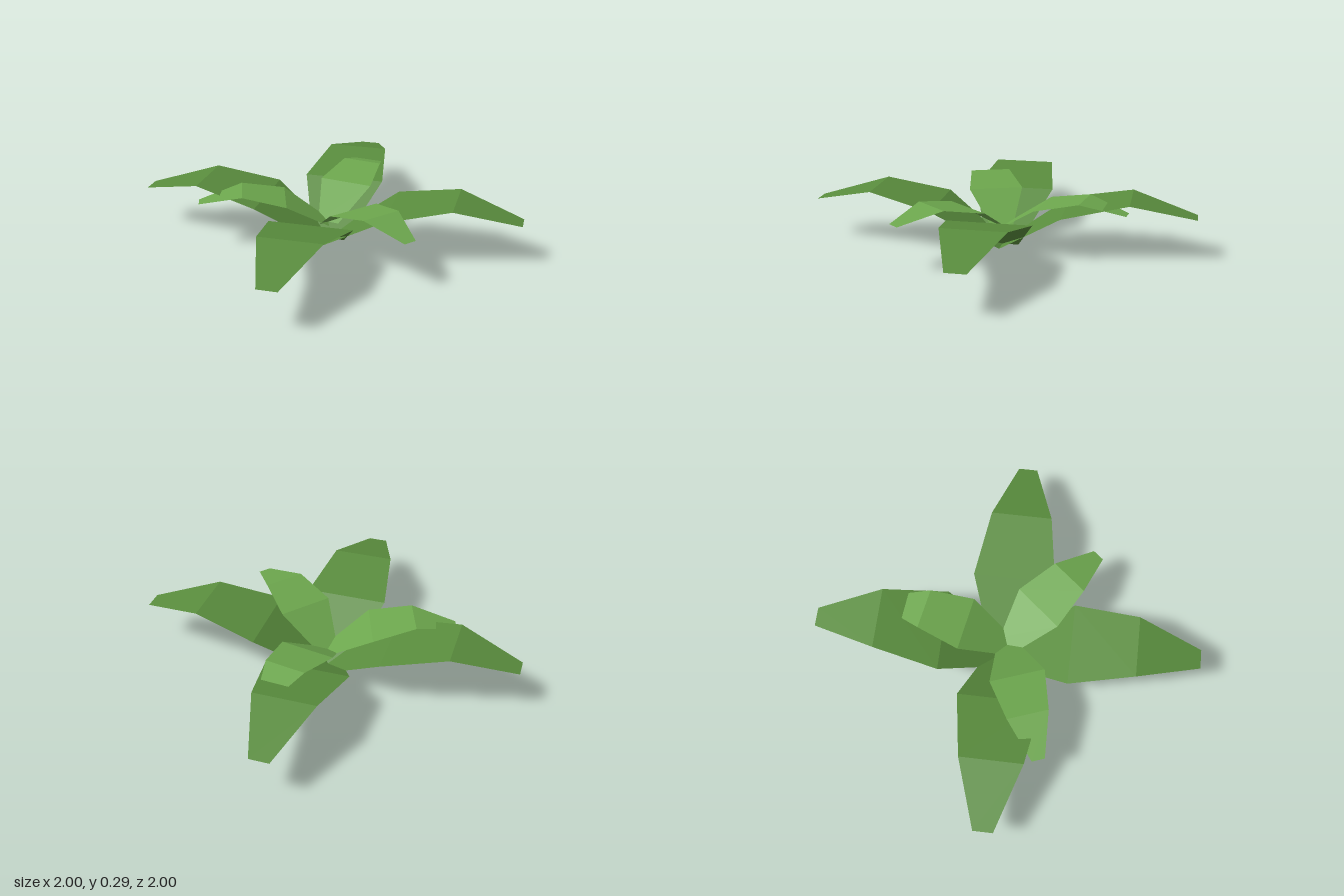
import * as THREE from 'three';

const outerGreen = new THREE.MeshStandardMaterial({ color: 0x598c3d, flatShading: true, side: THREE.DoubleSide });
outerGreen.name = 'leaf green';
const innerGreen = new THREE.MeshStandardMaterial({ color: 0x6ca64d, flatShading: true, side: THREE.DoubleSide });
innerGreen.name = 'light leaf green';

// Arching leaf stations: distance from the centre, height, half width
const STATIONS = [
  [0, 0, 0.086],
  [0.333, 0.218, 0.215],
  [0.667, 0.289, 0.16],
  [1, 0.204, 0.05],
];

// A thin three-panel leaf growing along +z
function leafGeometry() {
  const geometry = new THREE.PlaneGeometry(1, 1, 1, STATIONS.length - 1);
  const position = geometry.attributes.position;
  for (let i = 0; i < position.count; i++) {
    const [z, y, halfWidth] = STATIONS[Math.floor(i / 2)];
    position.setXYZ(i, i % 2 ? halfWidth : -halfWidth, y, z);
  }
  geometry.computeVertexNormals();
  return geometry;
}

// A ring of evenly spaced leaves
function leafRing(name, geometry, material, count, startDegrees) {
  const ring = new THREE.Group();
  ring.name = name;
  for (let i = 0; i < count; i++) {
    const leaf = new THREE.Mesh(geometry, material);
    leaf.name = `${name}Leaf${i + 1}`;
    leaf.rotation.y = THREE.MathUtils.degToRad(startDegrees + (i * 360) / count);
    ring.add(leaf);
  }
  return ring;
}

export function createModel() {
  const plant = new THREE.Group();
  plant.name = 'leafyPlant';
  const geometry = leafGeometry();

  // Four long leaves at right angles
  plant.add(leafRing('outer', geometry, outerGreen, 4, 0));

  // Three shorter leaves, raised so that their crests are level with the long ones
  const inner = leafRing('inner', geometry, innerGreen, 3, 50);
  inner.scale.setScalar(2 / 3);
  inner.position.y = 0.289 / 3;
  plant.add(inner);

  return plant;
}
